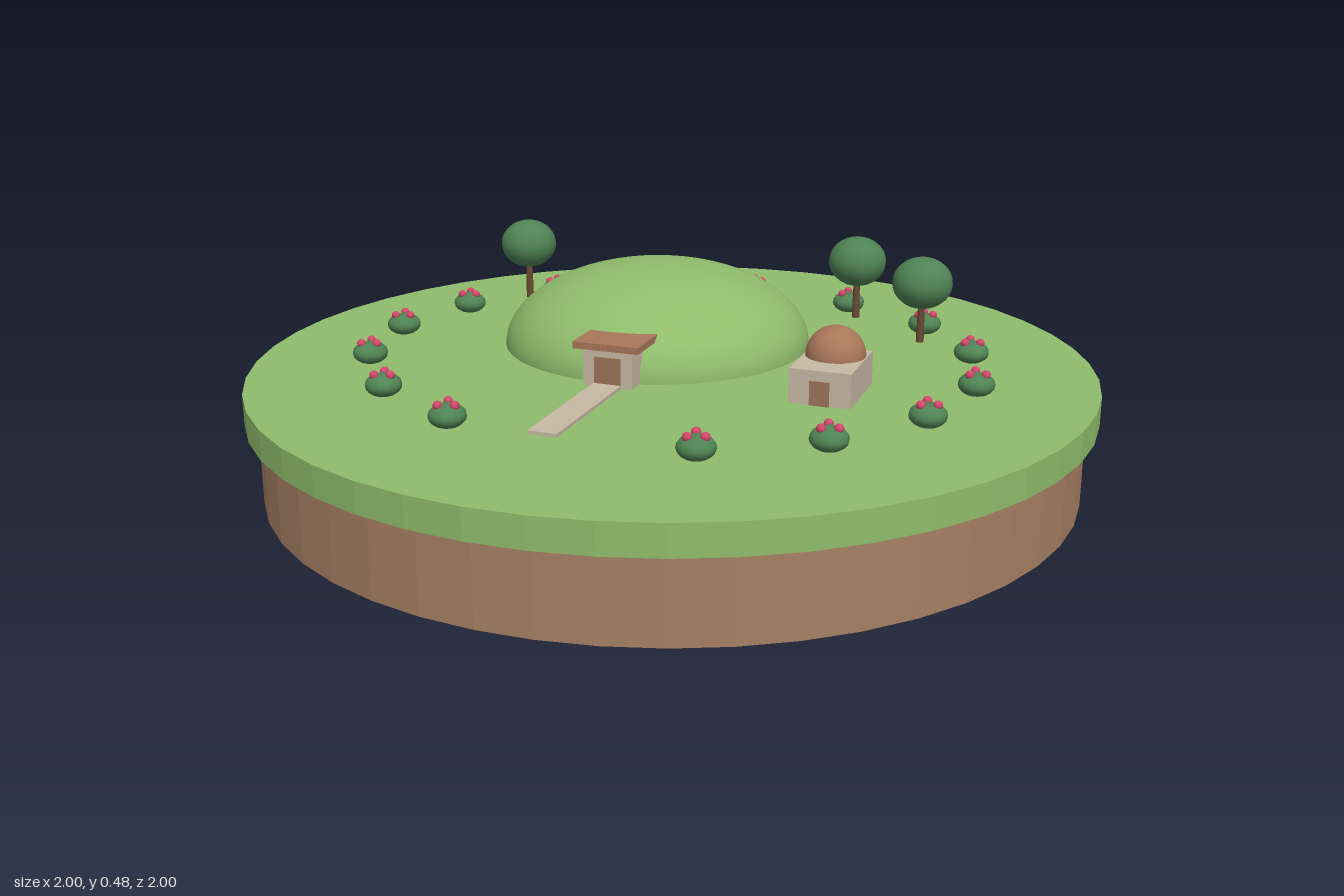
import * as THREE from 'three';

const GROUND = 0.265;
const TURN = -0.35; // both buildings face slightly to the side

function material(name, color, flatShading = false) {
  const m = new THREE.MeshStandardMaterial({ color, flatShading });
  m.name = name;
  return m;
}

function add(parent, name, geometry, mat, x = 0, y = 0, z = 0) {
  const mesh = new THREE.Mesh(geometry, mat);
  mesh.name = name;
  mesh.position.set(x, y, z);
  parent.add(mesh);
  return mesh;
}

function subgroup(parent, name, x, z, turn = 0) {
  const g = new THREE.Group();
  g.name = name;
  g.position.set(x, GROUND, z);
  g.rotation.y = turn;
  parent.add(g);
  return g;
}

export function createModel() {
  const model = new THREE.Group();
  model.name = 'moundGarden';

  const grass = material('grass green', 0x8fbc6b);
  const soil = material('soil brown', 0xa67f63);
  const leaf = material('leaf green', 0x4f8354);
  const stone = material('pale stone', 0xc6b8a4);
  const clay = material('clay brown', 0xa9775a);
  const door = material('door brown', 0x9c7459);
  const bark = material('bark brown', 0x6b4a35);
  const blossom = material('blossom pink', 0xd8466c);

  // Round island: soil base and an overhanging grass slab
  const disc = (r, h) => new THREE.CylinderGeometry(r, r, h, 48).toNonIndexed();
  const soilDisc = disc(0.97, 0.2);
  soilDisc.computeVertexNormals();
  add(model, 'soilBase', soilDisc, soil, 0, 0.1, 0);
  const grassDisc = disc(1, 0.07);
  grassDisc.computeVertexNormals();
  add(model, 'grassSlab', grassDisc, grass, 0, 0.23, 0);

  // Grassy mound
  const half = new THREE.SphereGeometry(1, 48, 20, 0, Math.PI * 2, 0, Math.PI / 2);
  add(model, 'mound', half, grass, -0.038, GROUND, -0.2).scale.set(0.38, 0.2, 0.38);

  // Porch set into the mound; its origin is the middle of the roof's front edge
  const porch = subgroup(model, 'porch', -0.15, 0.212, TURN);
  add(porch, 'porchWalls', new THREE.BoxGeometry(0.12, 0.09, 0.14), stone, 0, 0.045, -0.085);
  add(porch, 'porchRoof', new THREE.BoxGeometry(0.16, 0.016, 0.16), clay, 0, 0.097, -0.08);
  add(porch, 'porchDoor', new THREE.BoxGeometry(0.064, 0.07, 0.006), door, 0, 0.035, -0.014);
  add(porch, 'path', new THREE.BoxGeometry(0.068, 0.008, 0.36), stone, 0, 0.004, 0.16);

  // Small domed house
  const house = subgroup(model, 'domedHouse', 0.36, 0.237, TURN);
  add(house, 'houseWalls', new THREE.BoxGeometry(0.142, 0.08, 0.197), stone, 0, 0.04, 0);
  add(house, 'houseDoor', new THREE.BoxGeometry(0.045, 0.056, 0.006), door, 0, 0.028, 0.099);
  const dome = new THREE.SphereGeometry(0.069, 24, 10, 0, Math.PI * 2, 0, Math.PI / 2);
  add(house, 'houseDome', dome, clay, 0, 0.08, -0.035);

  // Round trees
  const trunk = new THREE.CylinderGeometry(0.008, 0.01, 0.11, 8);
  const crown = new THREE.SphereGeometry(0.075, 20, 14).scale(1, 0.86, 1);
  for (const [x, z] of [[-0.4, -0.63], [0.483, -0.42], [0.62, -0.185]]) {
    const tree = subgroup(model, 'tree', x, z);
    add(tree, 'trunk', trunk, bark, 0, 0.055, 0);
    add(tree, 'crown', crown, leaf, 0, 0.152, 0);
  }

  // Ring of flowering bushes, left open at the path
  const bushSpots = [
    [-0.054, -0.672], [0.225, -0.624], [0.47, -0.485], [0.643, -0.268], [0.718, -0.011],
    [0.686, 0.246], [0.546, 0.463], [0.324, 0.613], [0.054, 0.667], [-0.471, 0.474],
    [-0.645, 0.26], [-0.723, 0.005], [-0.686, -0.254], [-0.546, -0.471], [-0.324, -0.619],
  ];
  const bushBody = new THREE.SphereGeometry(0.042, 16, 10).scale(1, 0.64, 1);
  const flower = new THREE.SphereGeometry(0.0105, 10, 8);
  for (const [x, z] of bushSpots) {
    const bush = subgroup(model, 'bush', x, z);
    add(bush, 'bushLeaves', bushBody, leaf, 0, 0.025, 0);
    for (let i = 0; i < 3; i++) {
      const a = Math.PI / 6 + (i * Math.PI * 2) / 3;
      add(bush, 'flower', flower, blossom, 0.021 * Math.cos(a), 0.05, 0.021 * Math.sin(a));
    }
  }

  return model;
}
